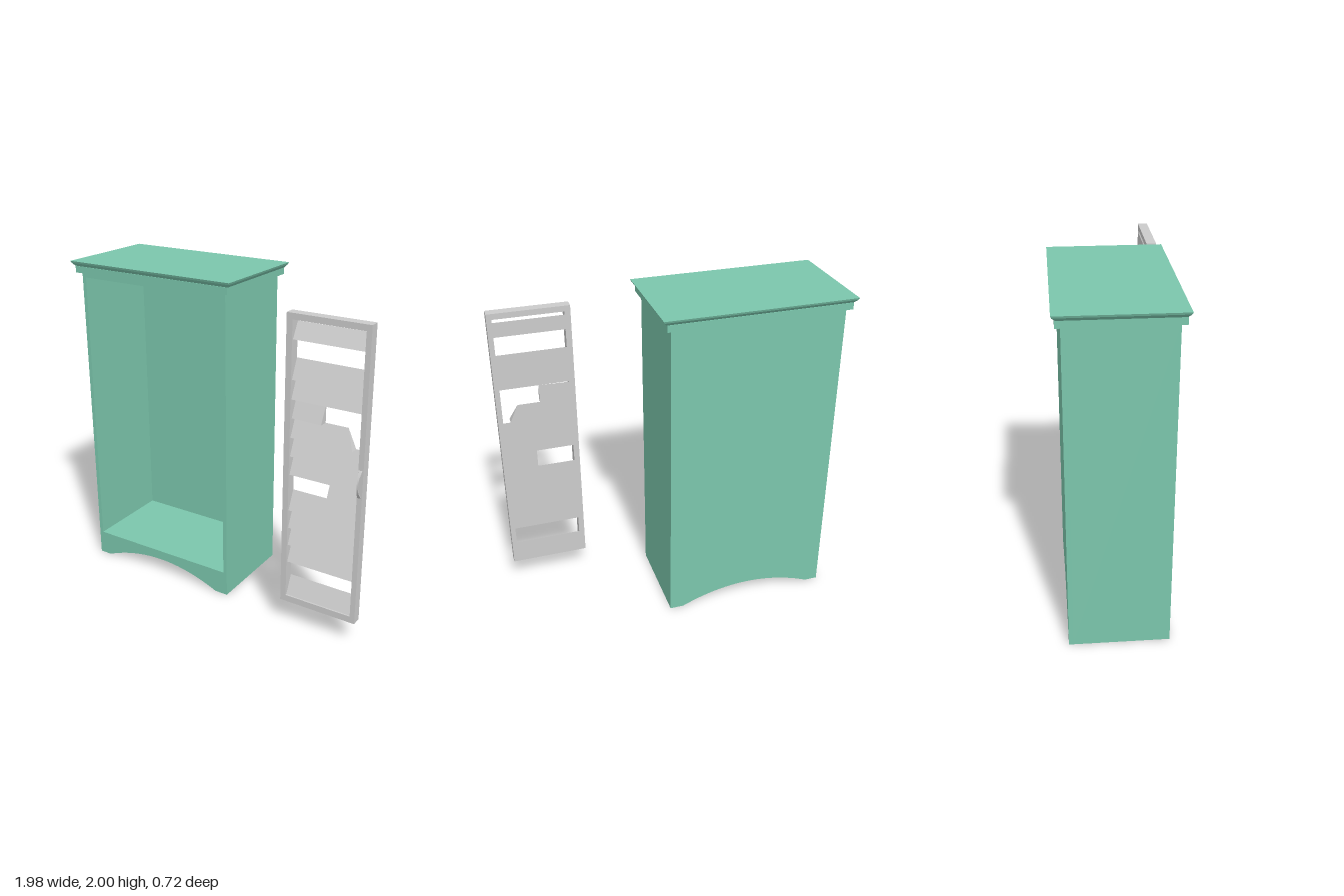
import * as THREE from 'three';

const green = new THREE.MeshStandardMaterial({ color: 0x7bc6ac });
const grey = new THREE.MeshStandardMaterial({ color: 0xcccccc });

function addMesh(parent, name, geometry, material, x = 0, y = 0, z = 0) {
  const mesh = new THREE.Mesh(geometry, material);
  mesh.name = name;
  mesh.position.set(x, y, z);
  parent.add(mesh);
  return mesh;
}

function rectanglePath(x0, y0, x1, y1, Type = THREE.Path) {
  return new Type([[x0, y0], [x1, y0], [x1, y1], [x0, y1]].map(p => new THREE.Vector2(...p)));
}

function extrude(shape, depth) {
  return new THREE.ExtrudeGeometry(shape, { depth, bevelEnabled: false, curveSegments: 24 });
}

// Box whose underside is drawn in by an even margin
function flaredBox(w, h, d, inset) {
  const g = new THREE.BoxGeometry(w, h, d);
  const p = g.attributes.position;
  for (let i = 0; i < p.count; i++) {
    if (p.getY(i) > 0) continue;
    p.setX(i, p.getX(i) - Math.sign(p.getX(i)) * inset);
    p.setZ(i, p.getZ(i) - Math.sign(p.getZ(i)) * inset);
  }
  g.computeVertexNormals();
  return g;
}

// Cabinet outline with an arched foot
function cabinetOutline() {
  const s = new THREE.Shape();
  s.moveTo(-0.94, 0);
  s.lineTo(-0.86, 0);
  s.quadraticCurveTo(-0.43, 0.19, 0, 0);
  s.lineTo(0.085, 0);
  s.lineTo(0.085, 1.93);
  s.lineTo(-0.94, 1.93);
  s.closePath();
  return s;
}

function createCabinet() {
  const cabinet = new THREE.Group();
  cabinet.name = 'cabinet';

  const carcass = cabinetOutline();
  carcass.holes.push(rectanglePath(-0.915, 0.155, 0.06, 1.9));
  addMesh(cabinet, 'carcass', extrude(carcass, 0.55), green, 0, 0, -0.29);
  addMesh(cabinet, 'backPanel', extrude(cabinetOutline(), 0.025), green, 0, 0, -0.315);

  // Stepped cornice: straight band, small lip and flared cap
  const cx = -0.427, cz = -0.028;
  addMesh(cabinet, 'corniceBand', new THREE.BoxGeometry(1.08, 0.04, 0.63), green, cx, 1.95, cz);
  addMesh(cabinet, 'corniceFlare', flaredBox(1.118, 0.018, 0.654, 0.016), green, cx, 1.979, cz);
  addMesh(cabinet, 'corniceCap', flaredBox(1.128, 0.012, 0.664, 0.005), green, cx, 1.994, cz);
  return cabinet;
}

// Wedge-shaped slat: flat back, front face leaning out towards the bottom
function slatGeometry(topLength, bottomLength, height) {
  const s = new THREE.Shape();
  s.moveTo(0, 0);
  s.lineTo(0, height);
  s.lineTo(-0.05, 0);
  s.closePath();
  const g = extrude(s, 1).rotateY(Math.PI / 2);
  const p = g.attributes.position;
  for (let i = 0; i < p.count; i++) {
    const length = p.getY(i) > height / 2 ? topLength : bottomLength;
    p.setX(i, p.getX(i) * length);
  }
  g.computeVertexNormals();
  return g;
}

// Bowed pull, narrow in the middle and wide at both ends
function handleGeometry() {
  const half = 0.08;
  const g = new THREE.BoxGeometry(0.022, 2 * half, 0.006, 1, 16, 1);
  const p = g.attributes.position;
  for (let i = 0; i < p.count; i++) {
    const t = p.getY(i) / half;
    p.setX(i, p.getX(i) * (0.3 + 0.7 * t * t));
    p.setZ(i, p.getZ(i) + 0.031 * Math.cos(t * Math.PI / 2));
  }
  g.computeVertexNormals();
  return g;
}

function createDoor() {
  const door = new THREE.Group();
  door.name = 'louvredDoor';

  const frame = rectanglePath(0.505, 0.155, 0.985, 1.9, THREE.Shape);
  frame.holes.push(rectanglePath(0.54, 0.195, 0.955, 1.865));
  addMesh(door, 'doorFrame', extrude(frame, 0.06), grey, 0, 0, 0.265);

  // Slats from the bottom up; some are missing or broken
  const pitch = 0.1115, left = 0.54, width = 0.415;
  const missing = [1, 13];
  const broken = {
    6: { x: 0.77, top: 0.185, bottom: 0.185 },
    9: { x: left, top: 0.32, bottom: 0.37 },
    10: { x: left, top: 0.185, bottom: 0.185, turn: -0.05 },
  };
  for (let i = 0; i < 15; i++) {
    if (missing.includes(i)) continue;
    const { x, top, bottom, turn = 0 } = broken[i] || { x: left, top: width, bottom: width };
    const height = i === 14 ? 0.09 : pitch;
    const slat = addMesh(door, 'slat', slatGeometry(top, bottom, height), grey, x, 0.195 + i * pitch, 0.265);
    // The loosened slat pokes slightly out of the back
    if (turn) {
      slat.rotation.y = turn;
      slat.position.z = 0.256;
    }
  }

  addMesh(door, 'doorHandle', handleGeometry(), grey, 0.969, 1.03, 0.326);
  return door;
}

export function createModel() {
  const model = new THREE.Group();
  model.name = 'cabinetWithDoor';
  model.add(createCabinet(), createDoor());
  return model;
}
